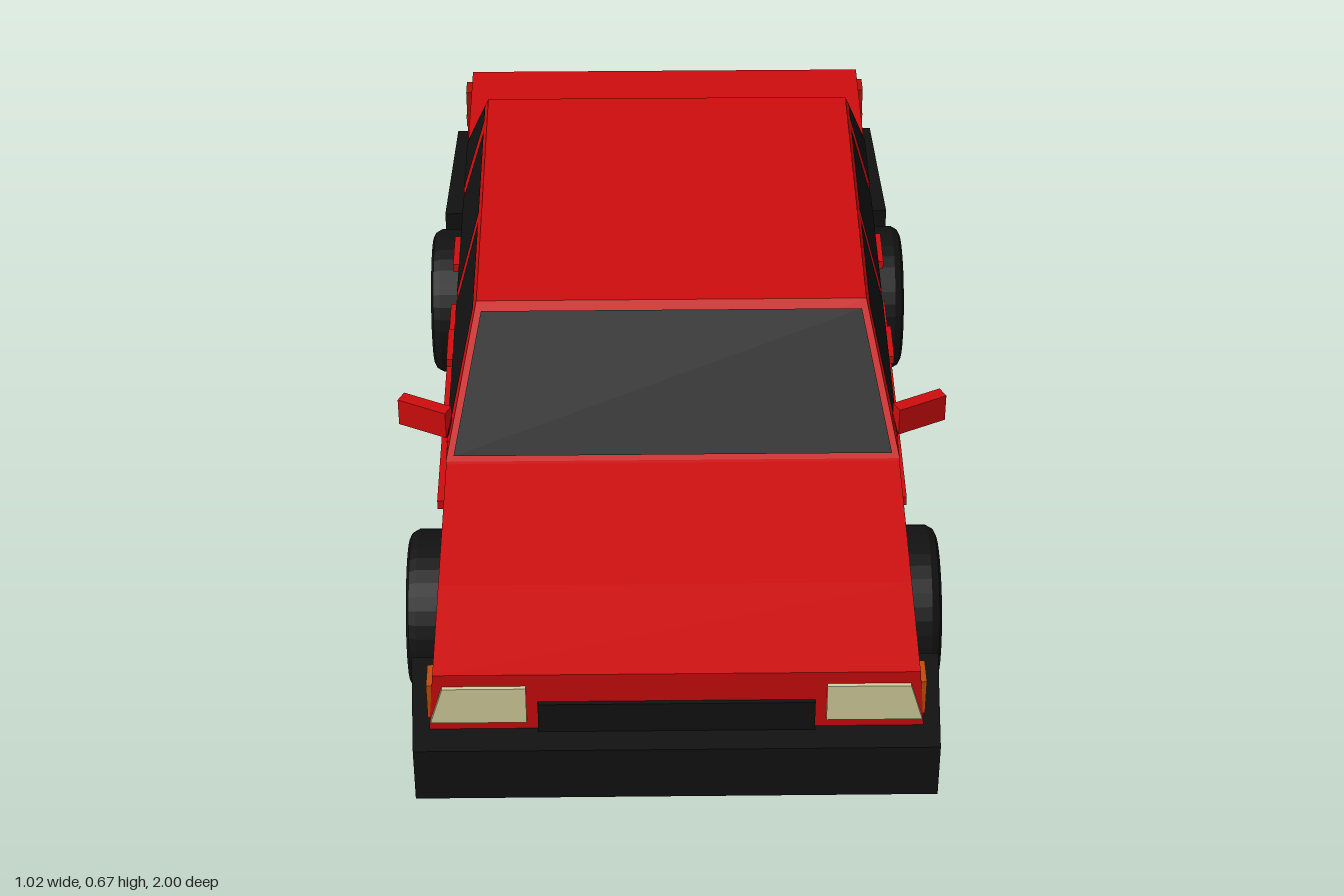
import * as THREE from 'three';

const mat = (color, side = THREE.FrontSide) => new THREE.MeshStandardMaterial({ color, side, flatShading: true });
const paint = mat(0xcc0c0c), black = mat(0x111111), glass = mat(0x111111, THREE.DoubleSide);
const lampRed = mat(0xb01008), orange = mat(0xc04a08), cream = mat(0xd2ce9c), yellow = mat(0xc8a008), alloy = mat(0x8a8a8a);
const tyreMat = mat(0x121212, THREE.DoubleSide);

// Half width of the lower body and of the cabin at height y
const bodyHalf = y => 0.45 - (y - 0.105) * 0.0845;
const cabinHalf = y => 0.42 - (y - 0.46) * 0.266;

function add(parent, name, geometry, material) {
  const mesh = new THREE.Mesh(geometry, material);
  mesh.name = name;
  parent.add(mesh);
  return mesh;
}

function box(parent, name, material, [w, h, d], [x, y, z]) {
  const mesh = add(parent, name, new THREE.BoxGeometry(w, h, d), material);
  mesh.position.set(x, y, z);
  return mesh;
}

// Side profile of [z, y] points extruded across the car, with its width set by height
function sideProfile(points, half) {
  const shape = new THREE.Shape(points.map(([z, y]) => new THREE.Vector2(-z, y)));
  const g = new THREE.ExtrudeGeometry(shape, { depth: 2, bevelEnabled: false });
  g.translate(0, 0, -1).rotateY(Math.PI / 2);
  const p = g.attributes.position;
  for (let i = 0; i < p.count; i++) p.setX(i, p.getX(i) * half(p.getY(i)));
  g.computeVertexNormals();
  return g;
}

// Plan outline of [x, z] points extruded from y0 to y1
function plan(points, y0, y1) {
  const shape = new THREE.Shape(points.map(([x, z]) => new THREE.Vector2(x, -z)));
  return new THREE.ExtrudeGeometry(shape, { depth: y1 - y0, bevelEnabled: false })
    .rotateX(-Math.PI / 2).translate(0, y0, 0);
}

// Front-facing outline of [x, y] points with a small thickness
function plate(points, z0, z1) {
  const shape = new THREE.Shape(points.map(p => new THREE.Vector2(...p)));
  return new THREE.ExtrudeGeometry(shape, { depth: z1 - z0, bevelEnabled: false }).translate(0, 0, z0);
}

// Flat four-cornered pane
function pane(corners) {
  const g = new THREE.BufferGeometry();
  g.setAttribute('position', new THREE.Float32BufferAttribute(corners.flat(), 3));
  g.setIndex([0, 1, 2, 0, 2, 3]);
  g.computeVertexNormals();
  return g;
}

function makeWheel() {
  const wheel = new THREE.Group();
  // Open tyre ring with chamfered shoulders, spun round the axle
  const ring = [[0.106, -0.055], [0.135, -0.061], [0.145, -0.056], [0.153, -0.042], [0.153, 0.042],
    [0.145, 0.056], [0.135, 0.061], [0.106, 0.055], [0.106, -0.055]];
  const tyre = new THREE.LatheGeometry(ring.map(p => new THREE.Vector2(...p)), 36).rotateZ(-Math.PI / 2);
  add(wheel, 'tyre', tyre, tyreMat);
  // Wheel disc pierced by a circle of slots
  const disc = new THREE.Shape().absarc(0, 0, 0.107, 0, Math.PI * 2);
  const slots = 16;
  for (let i = 0; i < slots; i++) {
    const a = (i / slots) * Math.PI * 2, s = 0.105;
    const corner = (r, t) => new THREE.Vector2(r * Math.cos(t), r * Math.sin(t));
    disc.holes.push(new THREE.Path([corner(0.08, a - s), corner(0.08, a + s), corner(0.094, a + s), corner(0.094, a - s)]));
  }
  const rim = new THREE.ExtrudeGeometry(disc, { depth: 0.012, bevelEnabled: false, curveSegments: 20 });
  add(wheel, 'rim', rim.rotateY(Math.PI / 2).translate(0.04, 0, 0), alloy);
  const cap = new THREE.CylinderGeometry(0.062, 0.074, 0.008, 28).rotateZ(-Math.PI / 2);
  add(wheel, 'hubCap', cap.translate(0.056, 0, 0), alloy);
  return wheel;
}

function makeBumper(name, end, back) {
  const bumper = new THREE.Group();
  bumper.name = name;
  const s = Math.sign(end);
  const outline = (w, e) => [[-w, e], [w, e], [w + 0.015, back], [-w - 0.015, back]];
  add(bumper, 'bumperBar', plan(outline(0.465, end), 0.125, 0.24), black);
  add(bumper, 'bumperLip', plan(outline(0.45, end - s * 0.025), 0.11, 0.125), black);
  return bumper;
}

export function createModel() {
  const car = new THREE.Group();
  car.name = 'car';

  // Lower body and cabin
  add(car, 'body', sideProfile([[0.94, 0.105], [0.945, 0.37], [0.75, 0.408], [0.46, 0.453], [0.43, 0.462],
    [-0.62, 0.462], [-0.635, 0.452], [-0.91, 0.452], [-0.943, 0.42], [-0.943, 0.105]], bodyHalf), paint);
  add(car, 'cabin', sideProfile([[0.455, 0.455], [0.24, 0.667], [-0.46, 0.667], [-0.635, 0.45]], cabinHalf), paint);

  // Windscreen and rear window
  add(car, 'windscreen', pane([[-0.407, 0.464, 0.45], [0.407, 0.464, 0.45], [0.356, 0.655, 0.256], [-0.356, 0.655, 0.256]]), glass);
  add(car, 'rearWindow', pane([[0.405, 0.466, -0.626], [-0.405, 0.466, -0.626], [-0.356, 0.655, -0.474], [0.356, 0.655, -0.474]]), glass);

  // Grille and bumpers
  box(car, 'grille', black, [0.49, 0.075, 0.02], [0, 0.2675, 0.942]);
  car.add(makeBumper('frontBumper', 1, 0.755), makeBumper('rearBumper', -1, -0.67));

  // Boot panel and number plate
  box(car, 'bootPanel', paint, [0.3, 0.15, 0.01], [0, 0.315, -0.944]);
  box(car, 'numberPlate', yellow, [0.24, 0.11, 0.01], [0, 0.315, -0.951]);

  // Side window outlines as [z, y]: front door, rear door, quarter light
  const sideWindows = [
    [[0.415, 0.467], [0.245, 0.654], [-0.04, 0.654], [-0.02, 0.467]],
    [[-0.055, 0.467], [-0.07, 0.654], [-0.36, 0.654], [-0.392, 0.467]],
    [[-0.43, 0.467], [-0.398, 0.654], [-0.455, 0.654], [-0.602, 0.467]]];

  for (const s of [1, -1]) {
    const side = s > 0 ? 'left' : 'right';
    sideWindows.forEach((w, i) => add(car, `${side}SideWindow${i + 1}`,
      pane(w.map(([z, y]) => [s * (cabinHalf(y) + 0.003), y, z])), glass));

    // Headlight and wrap-round indicator
    add(car, `${side}Headlight`, plate([[0.265, 0.263], [0.435, 0.263], [0.412, 0.343], [0.265, 0.343]]
      .map(([x, y]) => [s * x, y]), 0.935, 0.952), cream);
    box(car, `${side}Indicator`, orange, [0.03, 0.075, 0.055], [s * 0.425, 0.306, 0.915]);

    // Rear lamp cluster with an amber strip
    box(car, `${side}RearLamp`, lampRed, [0.275, 0.13, 0.045], [s * 0.3, 0.335, -0.93]);
    box(car, `${side}RearLampStrip`, orange, [0.275, 0.026, 0.046], [s * 0.3015, 0.325, -0.931]);

    // Door trim and handles
    box(car, `${side}DoorTrim`, paint, [0.03, 0.02, 0.64], [s * 0.435, 0.264, 0.03]);
    for (const z of [0.05, -0.27])
      box(car, `${side}DoorHandle`, paint, [0.03, 0.018, 0.1], [s * 0.422, 0.415, z]);

    // Mirror swept back from the front door
    const mirror = box(car, `${side}Mirror`, paint, [0.1, 0.057, 0.025], [s * 0.462, 0.496, 0.367]);
    mirror.rotation.y = s * 0.45;

    // Wheels
    for (const [name, z] of [['Front', 0.525], ['Rear', -0.47]]) {
      const wheel = makeWheel();
      wheel.name = `${side}${name}Wheel`;
      wheel.position.set(s * 0.436, 0.153, z);
      if (s < 0) wheel.rotation.y = Math.PI;
      car.add(wheel);
    }
  }
  return car;
}
